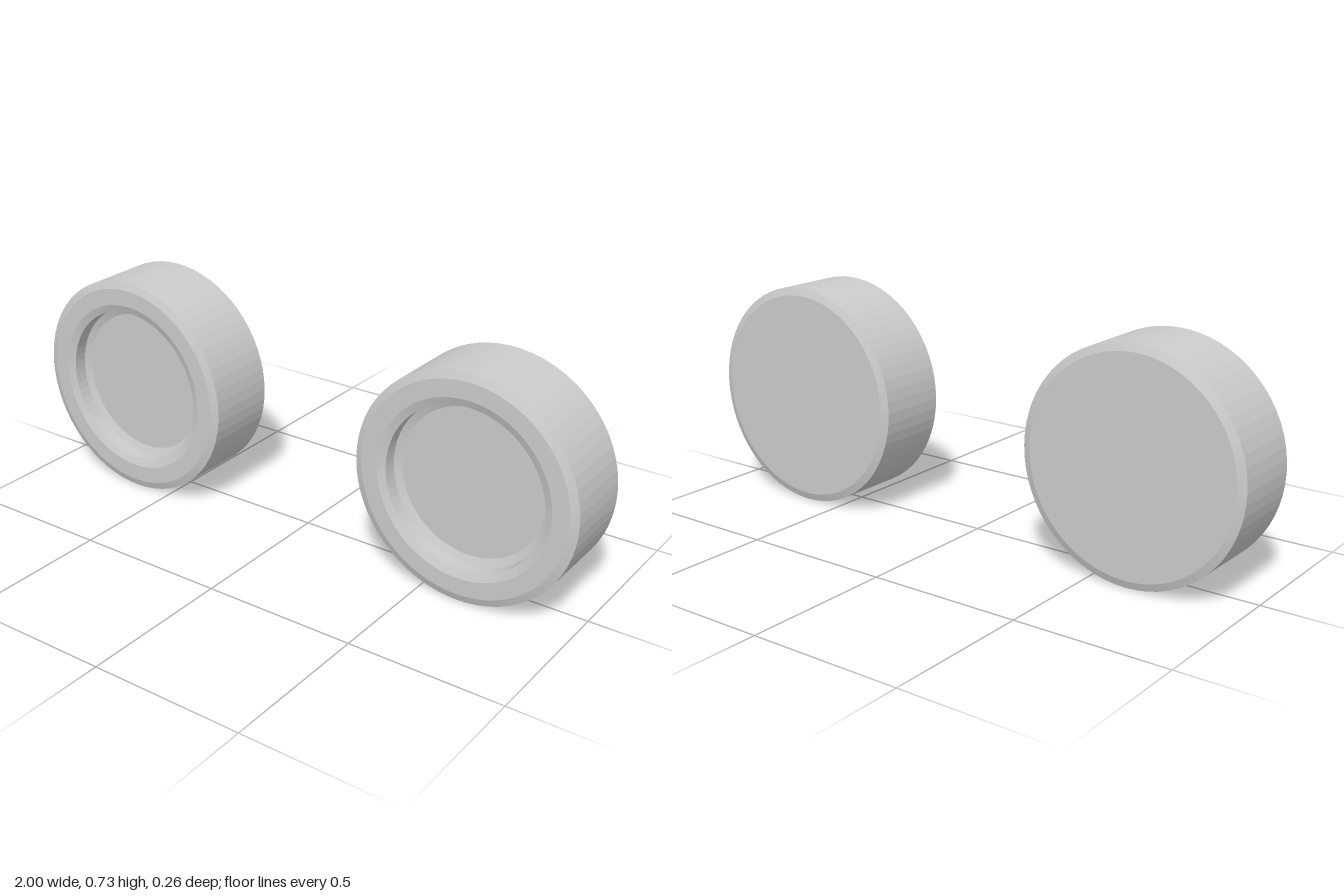
import * as THREE from 'three';

export function createModel() {
  const model = new THREE.Group();
  const material = new THREE.MeshStandardMaterial({ color: 0xcccccc, flatShading: true });

  const R = 0.367; // outer radius
  const H = 0.131; // half depth

  // Half section (radius, depth) from the closed back to the recessed front
  const profile = [
    [0, -H],
    [0.342, -H], [R, -H + 0.009],    // back chamfer
    [R, H - 0.009], [0.342, H],      // rim and front chamfer
    [0.287, H], [0.262, H - 0.009],  // lip sloping into the recess
    [0.262, 0.077], [0.238, 0.068],  // recess wall and floor chamfer
    [0, 0.068],                      // recess floor
  ].map(([r, d]) => new THREE.Vector2(r, d));

  const wheelGeometry = new THREE.LatheGeometry(profile, 64).rotateX(Math.PI / 2);

  // A mirrored pair of wheels
  for (const side of [1, -1]) {
    const wheel = new THREE.Mesh(wheelGeometry, material);
    wheel.name = side > 0 ? 'leftWheel' : 'rightWheel';
    wheel.position.set(side * (1 - R), R, 0);
    model.add(wheel);
  }
  return model;
}
